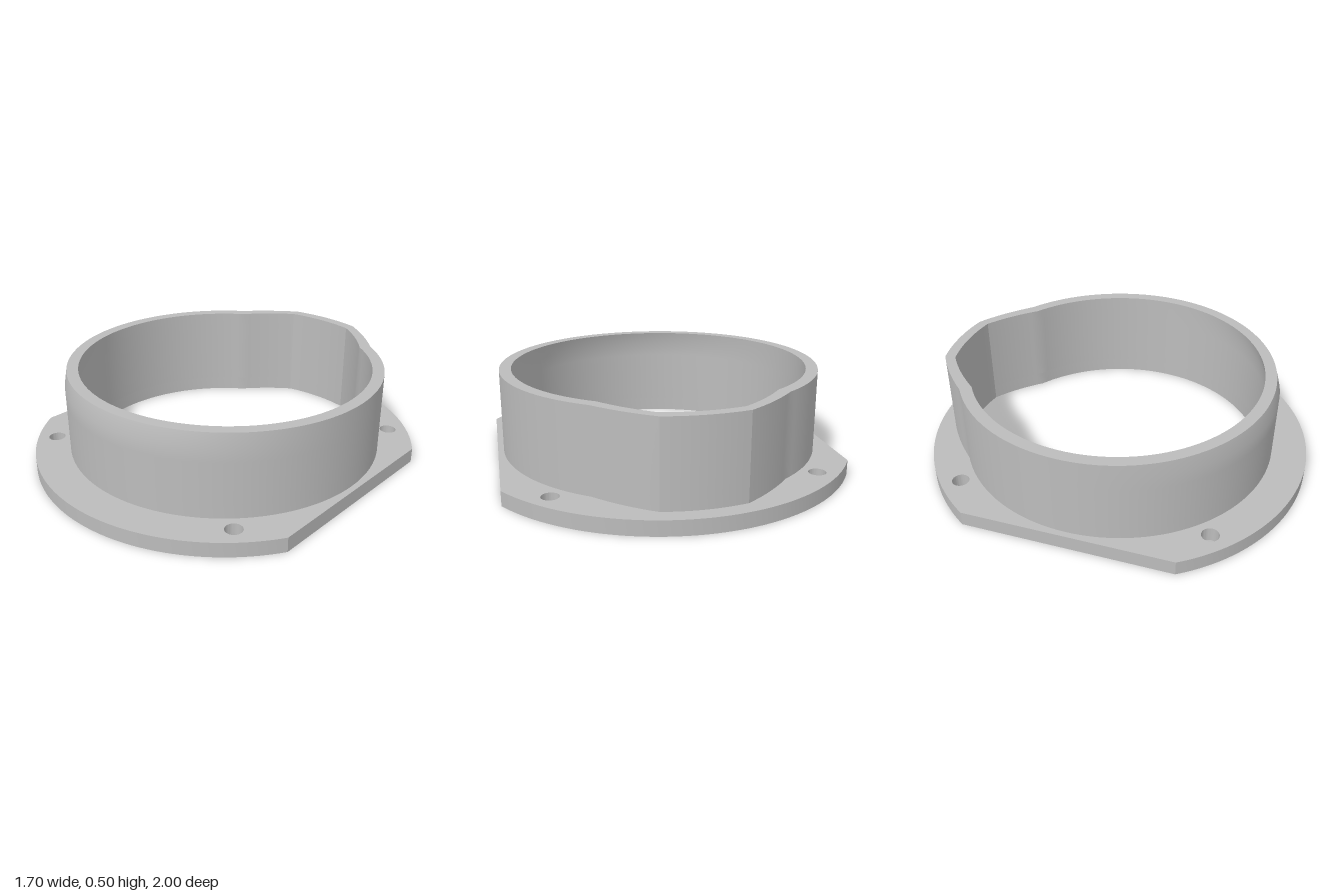
import * as THREE from 'three';
import { toCreasedNormals } from 'three/addons/utils/BufferGeometryUtils.js';

const FLANGE_HEIGHT = 0.075;
const TOP = 0.5;

// Round outline with a wider bulge at the back (+y in the shape, -z in the model)
function ringOutline(radius, bulgeRadius, neck, shoulder) {
  const points = [];
  const arc = (r, from, to, count) => {
    for (let i = 0; i <= count; i++) {
      const a = from + ((to - from) * i) / count;
      points.push(new THREE.Vector2(r * Math.cos(a), r * Math.sin(a)));
    }
  };
  const at = (r, a) => new THREE.Vector2(r * Math.cos(a), r * Math.sin(a));
  // Slightly rounded flank between the main circle and the bulge
  const flank = (from, to) => {
    const control = from.clone().add(to).multiplyScalar(0.5);
    control.setLength(control.length() + 0.025);
    const curve = new THREE.QuadraticBezierCurve(from, control, to);
    points.push(...curve.getPoints(8).slice(1, -1));
  };
  arc(radius, Math.PI - neck, Math.PI * 2 + neck, 100);
  flank(at(radius, neck), at(bulgeRadius, shoulder));
  arc(bulgeRadius, shoulder, Math.PI - shoulder, 16);
  flank(at(bulgeRadius, Math.PI - shoulder), at(radius, Math.PI - neck));
  return points;
}

// Extrude a flat shape upwards from the given height
function extrudeUp(shape, y, depth, steps) {
  const geometry = new THREE.ExtrudeGeometry(shape, { depth, steps, bevelEnabled: false, curveSegments: 32 });
  geometry.rotateX(-Math.PI / 2);
  geometry.translate(0, y, 0);
  return geometry;
}

export function createModel() {
  const model = new THREE.Group();
  model.name = 'flangedCollar';
  const grey = new THREE.MeshStandardMaterial({ color: 0xbcbcbc });
  grey.name = 'grey';

  const outer = ringOutline(0.82, 0.92, 0.976, 1.352);
  const inner = ringOutline(0.76, 0.865, 0.985, 1.348);

  // Flange: disc with two flat sides, four screw holes and the central opening
  const cut = Math.acos(0.85);
  const plate = new THREE.Shape();
  plate.absarc(0, 0, 1, cut, Math.PI - cut, false);
  plate.absarc(0, 0, 1, Math.PI + cut, Math.PI * 2 - cut, false);
  plate.closePath();
  plate.holes.push(new THREE.Path(inner));
  for (const x of [-0.637, 0.637]) {
    for (const y of [-0.637, 0.637]) {
      plate.holes.push(new THREE.Path().absarc(x, y, 0.043, 0, Math.PI * 2, true));
    }
  }
  const flange = new THREE.Mesh(toCreasedNormals(extrudeUp(plate, 0, FLANGE_HEIGHT, 1), 0.3), grey);
  flange.name = 'flange';

  // Collar wall: the front half of its upper rim leans slightly inwards
  const wall = new THREE.Shape(outer);
  wall.holes.push(new THREE.Path(inner));
  const wallGeometry = extrudeUp(wall, FLANGE_HEIGHT, TOP - FLANGE_HEIGHT, 6);
  const position = wallGeometry.attributes.position;
  for (let i = 0; i < position.count; i++) {
    const z = position.getZ(i);
    if (z > 0 && position.getY(i) > TOP - 0.01) position.setZ(i, z * 0.974);
  }
  const collar = new THREE.Mesh(toCreasedNormals(wallGeometry, 0.3), grey);
  collar.name = 'collarWall';

  model.add(flange, collar);
  return model;
}
